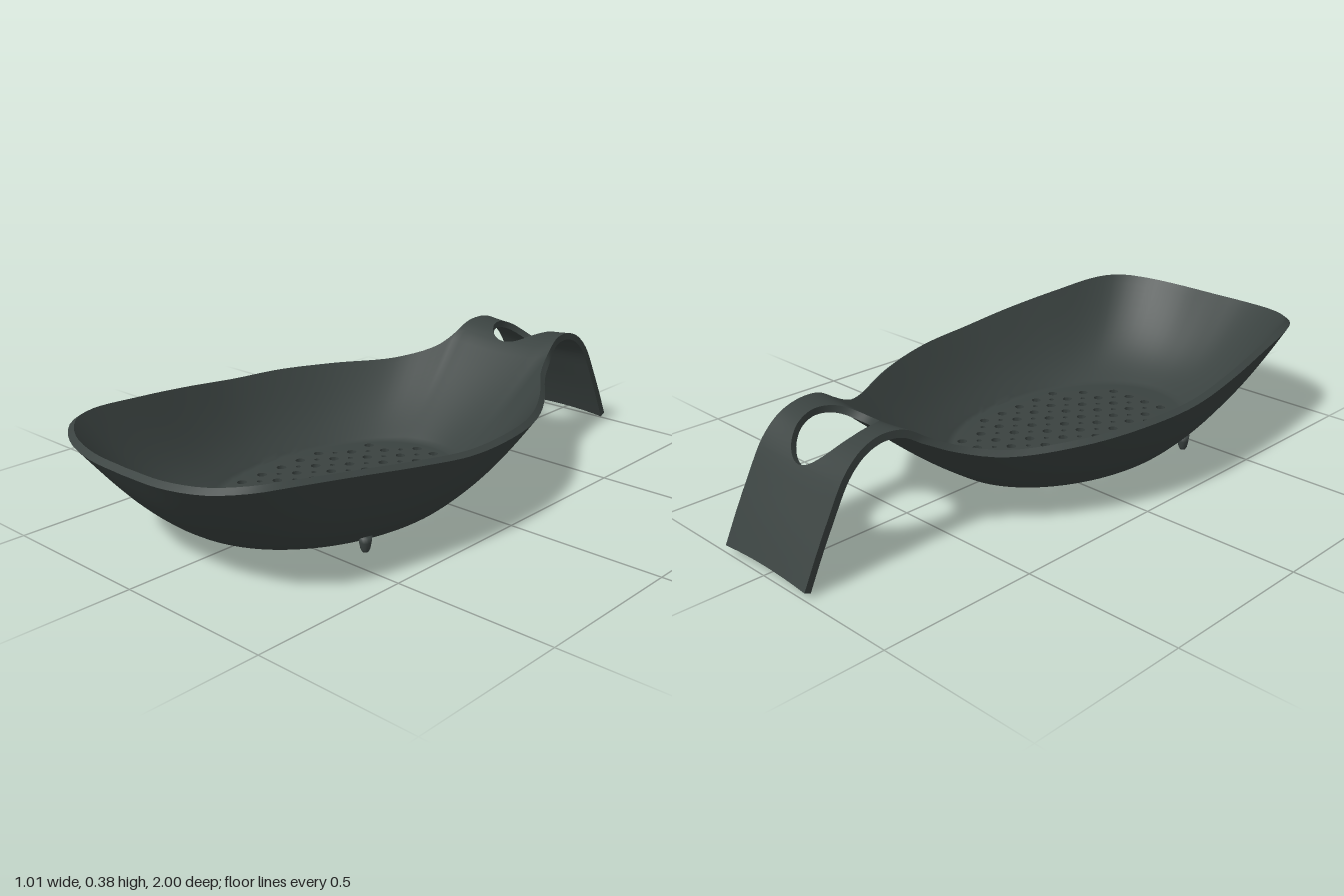
import * as THREE from 'three';
import { mergeVertices, mergeGeometries, toCreasedNormals } from 'three/addons/utils/BufferGeometryUtils.js';

const THICKNESS = 0.022, FLOOR_Y = 0.041, JOIN_Z = -0.6, COLS = 6;
const V = (x, y, z) => new THREE.Vector3(x, y, z);
const lerp = THREE.MathUtils.lerp;

// Sheet through a list of equally long rows of points
function sheet(rows) {
  const pos = [];
  for (let i = 0; i < rows.length - 1; i++)
    for (let j = 0; j < rows[i].length - 1; j++) {
      const a = rows[i][j], b = rows[i][j + 1], c = rows[i + 1][j + 1], d = rows[i + 1][j];
      for (const p of [a, b, c, a, c, d]) pos.push(p.x, p.y, p.z);
    }
  return new THREE.BufferGeometry().setAttribute('position', new THREE.Float32BufferAttribute(pos, 3));
}

// Gives a mid-surface thickness and closes all its open edges
function thicken(geo, t) {
  geo.computeVertexNormals();
  const p = geo.attributes.position, n = geo.attributes.normal, idx = geo.index.array, count = p.count;
  const pos = [], out = [], edges = new Set();
  for (const s of [t / 2, -t / 2])
    for (let i = 0; i < count; i++)
      pos.push(p.getX(i) + n.getX(i) * s, p.getY(i) + n.getY(i) * s, p.getZ(i) + n.getZ(i) * s);
  const eachEdge = (fn) => {
    for (let i = 0; i < idx.length; i += 3)
      for (let k = 0; k < 3; k++) fn(idx[i + k], idx[i + (k + 1) % 3]);
  };
  for (let i = 0; i < idx.length; i += 3) {
    const [a, b, c] = [idx[i], idx[i + 1], idx[i + 2]];
    out.push(a, b, c, a + count, c + count, b + count);
  }
  eachEdge((a, b) => edges.add(a * count + b));
  eachEdge((a, b) => {
    if (!edges.has(b * count + a)) out.push(a + count, b + count, b, a + count, b, a);
  });
  const shell = new THREE.BufferGeometry();
  shell.setAttribute('position', new THREE.Float32BufferAttribute(pos, 3));
  shell.setIndex(out);
  return toCreasedNormals(shell, 1.0);
}

// Side profile of the handle as (z, y), sagging slightly along its middle
const profile = new THREE.SplineCurve([
  [-0.56, 0.303], [-0.6, 0.333], [-0.65, 0.362], [-0.7, 0.37], [-0.75, 0.363], [-0.8, 0.338],
  [-0.85, 0.285], [-0.9, 0.195], [-0.945, 0.108], [-0.988, 0.018],
].map(([z, y]) => new THREE.Vector2(z, y))).getPoints(400);

function handlePoint(x, z) {
  let i = 1;
  while (i < profile.length - 1 && profile[i].x > z) i++;
  const a = profile[i - 1], b = profile[i];
  const y = lerp(a.y, b.y, (z - a.x) / (b.x - a.x));
  const sag = lerp(-0.012, 0.01, THREE.MathUtils.smoothstep(-z, 0.75, 0.98));
  return V(x, y + sag * Math.max(0, 1 - (x / 0.18) ** 2), z);
}

// Handle: two mirrored halves that run around the hanging hole
function handleSheets() {
  const holeZ = -0.735, holeA = 0.119, holeB = 0.106, steps = 28;
  const rows = [[JOIN_Z, 0]];
  for (let i = 0; i <= steps; i++) {
    const t = (i / steps) * Math.PI;
    rows.push([holeZ + holeA * Math.cos(t), i % steps ? holeB * Math.sin(t) : 0]);
  }
  for (let i = 1; i <= 10; i++) rows.push([lerp(holeZ - holeA, -0.988, i / 10), 0]);
  const half = (side) => sheet(rows.map(([z, inner]) => {
    const outer = 0.18 + 0.02 * THREE.MathUtils.clamp((z + 0.75) / 0.15, 0, 1) ** 2;
    const row = [];
    for (let j = 0; j <= COLS; j++) row.push(handlePoint(side * lerp(inner, outer, j / COLS), z));
    return side > 0 ? row : row.reverse();
  }));
  return [half(1), half(-1)];
}

// Rim: closed loop from the handle joint, round the front and back
function rimLoop() {
  const half = [];
  for (let j = 0; j < COLS; j++) half.push(handlePoint(0.2 * j / COLS, JOIN_Z));
  const corner = handlePoint(0.2, JOIN_Z);
  const side = new THREE.CatmullRomCurve3([
    corner, V(0.232, 0.292, -0.52), V(0.315, 0.262, -0.4), V(0.422, 0.266, -0.2), V(0.48, 0.277, 0),
    V(0.497, 0.286, 0.2), V(0.484, 0.31, 0.4), V(0.453, 0.334, 0.6), V(0.413, 0.354, 0.8),
    V(0.37, 0.353, 0.885), V(0.28, 0.343, 0.95), V(0.15, 0.335, 0.984), V(0, 0.333, 0.99),
  ]);
  half.push(...side.getSpacedPoints(56));
  const mirrored = half.slice(0, -1).reverse().map((p) => V(-p.x, p.y, p.z));
  return [...half, ...mirrored];
}

// Bowl wall, from the oval floor edge up to the rim
function bowlSheets() {
  const rim = rimLoop(), steps = 18, cz = 0.21;
  const angles = rim.map((p) => Math.atan2(p.x / 0.5, (p.z - cz) / 0.79));
  const floorPoint = (t, s) => V(0.315 * s * Math.sin(t), FLOOR_Y, cz + 0.46 * s * Math.cos(t));
  const rows = [angles.map((t) => floorPoint(t, 0.965))];
  for (let i = 0; i <= steps; i++) {
    const v = i / steps;
    rows.push(rim.map((r, j) => {
      const p = floorPoint(angles[j], 1);
      const bulge = 0.11 + 0.05 * Math.cos(angles[j]);
      const h = v - bulge * Math.sin(Math.PI * v);
      return V(lerp(p.x, r.x, v), lerp(p.y, r.y, h), lerp(p.z, r.z, v));
    }));
  }
  return [sheet(rows), drainFloor(rows[0].slice(0, -1))];
}

// Floor with alternating rows of large and small drain holes
function drainFloor(edge) {
  const shape = new THREE.Shape(edge.map((p) => new THREE.Vector2(p.x, -p.z)));
  const hole = (x, z, r, n) => {
    const pts = [];
    for (let k = 0; k < n; k++) {
      const a = (k / n) * Math.PI * 2;
      pts.push(new THREE.Vector2(x + r * Math.cos(a), -z + r * Math.sin(a)));
    }
    shape.holes.push(new THREE.Path(pts));
  };
  [2, 6, 6, 8, 8, 8, 8, 8, 6, 4].forEach((n, i) => {
    const z = -0.197 + 0.0835 * i;
    for (let k = 0; k < n; k++) hole((k - (n - 1) / 2) * 0.07, z, 0.0155, 14);
    const mid = z + 0.042;
    if (i < 9)
      for (let k = -3; k <= 3; k++)
        if ((k * 0.07 / 0.25) ** 2 + ((mid - 0.18) / 0.4) ** 2 < 1) hole(k * 0.07, mid, 0.0085, 10);
  });
  const geo = new THREE.ShapeGeometry(shape).rotateX(-Math.PI / 2).translate(0, FLOOR_Y, 0).toNonIndexed();
  geo.deleteAttribute('uv');
  geo.deleteAttribute('normal');
  return geo;
}

export function createModel() {
  const group = new THREE.Group();
  group.name = 'strainerScoop';
  const charcoal = new THREE.MeshStandardMaterial({ color: 0x3a4240 });
  charcoal.name = 'charcoal';

  // Bowl, floor and handle form one continuous shell
  const mid = mergeVertices(mergeGeometries([...bowlSheets(), ...handleSheets()]), 1e-4);
  const body = new THREE.Mesh(thicken(mid, THICKNESS), charcoal);
  body.name = 'bowlAndHandle';
  group.add(body);

  // Two small rounded feet under the front of the bowl
  const footShape = [[0, 0.002], [0.009, 0.005], [0.014, 0.014], [0.018, 0.035], [0.02, 0.052], [0, 0.054]];
  const footGeo = new THREE.LatheGeometry(footShape.map(([r, y]) => new THREE.Vector2(r, y)), 16);
  for (const side of [1, -1]) {
    const foot = new THREE.Mesh(footGeo, charcoal);
    foot.name = side > 0 ? 'leftFoot' : 'rightFoot';
    foot.position.set(side * 0.306, 0, 0.42);
    group.add(foot);
  }
  return group;
}
